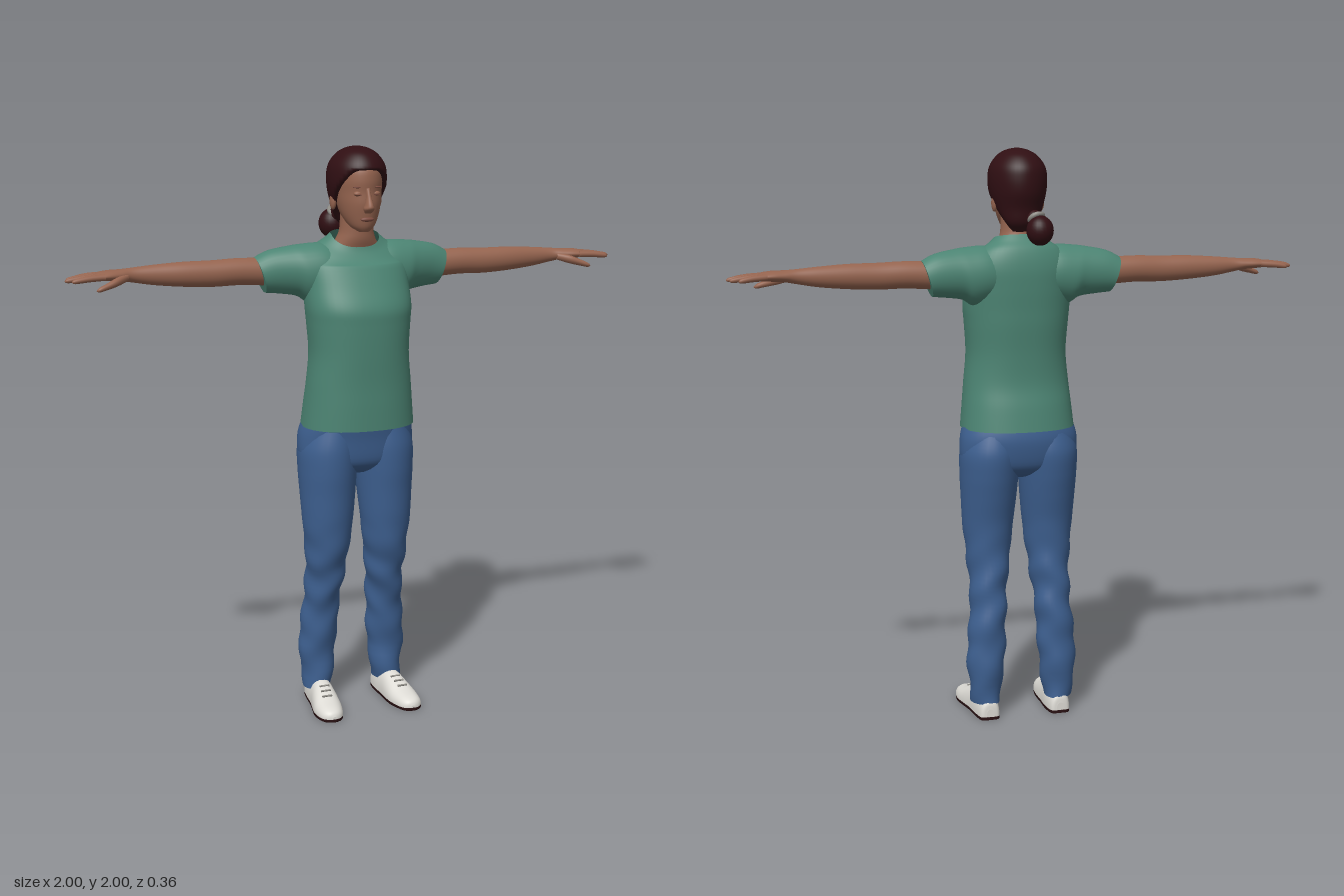
import * as THREE from 'three';

const paint = (name, color, side = THREE.FrontSide) => {
  const m = new THREE.MeshStandardMaterial({ color, side });
  m.name = name;
  return m;
};

// Smooth loft. Each row is [position along axis, centre u, centre v, radius u, radius v];
// u and v are the axes before and after the loft axis in x, y, z order.
function loft(axis, rows, { segs = 32, steps = 5, n = 2, warp, caps = true } = {}) {
  const A = 'xyz'.indexOf(axis), U = (A + 2) % 3, V = (A + 1) % 3;
  const at = (i) => rows[Math.min(rows.length - 1, Math.max(0, i))];
  const cat = (a, b, c, d, t) =>
    0.5 * (2 * b + (c - a) * t + (2 * a - 5 * b + 4 * c - d) * t * t + (3 * b - a - 3 * c + d) * t * t * t);
  const rings = [];
  const count = (rows.length - 1) * steps;
  for (let k = 0; k <= count; k++) {
    const i = Math.min(Math.floor(k / steps), rows.length - 2), t = k / steps - i;
    const r = at(i).map((_, c) => cat(at(i - 1)[c], at(i)[c], at(i + 1)[c], at(i + 2)[c], t));
    const ring = [];
    for (let s = 0; s < segs; s++) {
      const a = (s / segs) * Math.PI * 2, c = Math.cos(a), d = Math.sin(a);
      const p = [0, 0, 0];
      p[A] = r[0];
      p[U] = r[1] + Math.max(r[3], 0.001) * Math.sign(c) * Math.abs(c) ** (2 / n);
      p[V] = r[2] + Math.max(r[4], 0.001) * Math.sign(d) * Math.abs(d) ** (2 / n);
      const v = new THREE.Vector3(...p);
      if (warp) warp(v);
      ring.push(v);
    }
    rings.push(ring);
  }
  const pos = rings.flat(), index = [];
  for (let k = 0; k < count; k++)
    for (let s = 0; s < segs; s++) {
      const a = k * segs + s, b = k * segs + ((s + 1) % segs);
      index.push(a, a + segs, b + segs, a, b + segs, b);
    }
  if (caps)
    for (const end of [0, count]) {
      const base = pos.length, mid = new THREE.Vector3();
      rings[end].forEach((v) => mid.addScaledVector(v, 1 / segs));
      pos.push(...rings[end], mid);
      for (let s = 0; s < segs; s++) {
        const a = base + s, b = base + ((s + 1) % segs);
        index.push(base + segs, ...(end ? [b, a].reverse() : [b, a]).reverse());
      }
    }
  const g = new THREE.BufferGeometry().setFromPoints(pos);
  g.setIndex(index);
  g.computeVertexNormals();
  return g;
}

// Mirror across x, keeping faces outward
function mirrored(geo) {
  const g = geo.clone().scale(-1, 1, 1), ix = g.index.array;
  for (let i = 0; i < ix.length; i += 3) [ix[i + 1], ix[i + 2]] = [ix[i + 2], ix[i + 1]];
  return g;
}

const blob = (x, y, z, sx, sy, sz) => new THREE.SphereGeometry(1, 24, 16).scale(sx, sy, sz).translate(x, y, z);
const clamp = THREE.MathUtils.clamp;

export function createModel() {
  const model = new THREE.Group();
  model.name = 'standingWoman';
  const skin = paint('skin', 0x95644f), lip = paint('lip', 0x7d4c40), hair = paint('hair', 0x300f13);
  const shirt = paint('shirt', 0x4c8473, THREE.DoubleSide), denim = paint('denim', 0x3d5f8f);
  const white = paint('shoeWhite', 0xdedcd6), sole = paint('soleDark', 0x2a1214), grey = paint('grey', 0x8c8a84);

  const add = (name, geo, mat) => {
    const m = new THREE.Mesh(geo, mat);
    m.name = name;
    model.add(m);
    return m;
  };
  const pair = (name, geo, mat) => {
    add('left' + name, geo, mat);
    add('right' + name, mirrored(geo), mat);
  };

  // Shirt body with scooped neckline (rows: y, x, z, rx, rz for upright lofts see swap below)
  const upright = (rows, opts) => loft('y', rows.map(([y, x, z, rx, rz]) => [y, x, z, rx, rz]), opts);
  add('shirtBody', upright([
    [1.04, 0, 0, 0.2, 0.155], [1.12, 0, 0.007, 0.192, 0.148], [1.2, 0, 0.015, 0.184, 0.139],
    [1.3, 0, 0.017, 0.175, 0.14], [1.4, 0, 0.014, 0.181, 0.144], [1.46, 0, 0.011, 0.186, 0.143],
    [1.53, 0, -0.007, 0.185, 0.128], [1.6, 0, -0.024, 0.182, 0.11], [1.65, 0, -0.03, 0.15, 0.09],
    [1.68, 0, -0.026, 0.108, 0.071], [1.7, 0, -0.022, 0.085, 0.06],
  ], {
    segs: 48, n: 2.3, caps: false,
    warp: (v) => {
      const t = clamp((v.y - 1.6) / 0.1, 0, 1), f = v.z + 0.02;
      v.y -= t * f * (f > 0 ? 0.7 : 0.2);
    },
  }), shirt);

  // Sleeves with slanted cuffs
  pair('Sleeve', loft('x', [
    [0.06, -0.03, 1.57, 0.08, 0.085], [0.12, -0.035, 1.575, 0.088, 0.098], [0.18, -0.04, 1.57, 0.085, 0.1],
    [0.22, -0.046, 1.578, 0.074, 0.086], [0.28, -0.055, 1.576, 0.063, 0.075], [0.332, -0.06, 1.567, 0.056, 0.061],
  ], { warp: (v) => { v.x += (v.y - 1.567) * 0.3 * clamp((v.x - 0.1) / 0.2, 0, 1); } }), shirt);

  // Bare arms and palms
  pair('Arm', loft('x', [
    [0.27, -0.058, 1.576, 0.044, 0.048], [0.4, -0.058, 1.583, 0.042, 0.046], [0.5, -0.057, 1.581, 0.039, 0.045],
    [0.6, -0.06, 1.583, 0.036, 0.042], [0.7, -0.065, 1.585, 0.029, 0.034], [0.77, -0.066, 1.588, 0.025, 0.025],
    [0.81, -0.063, 1.59, 0.033, 0.02], [0.85, -0.06, 1.591, 0.042, 0.018], [0.885, -0.058, 1.59, 0.044, 0.014],
    [0.9, -0.058, 1.589, 0.034, 0.006],
  ]), skin);

  // Fingers: [root z, tip z, tip x]; then thumbs
  [[-0.092, -0.107, 0.965], [-0.07, -0.077, 0.992], [-0.047, -0.046, 1], [-0.025, -0.016, 0.982]].forEach(([z0, z1, tip], i) => {
    const row = (t, r) => [0.87 + (tip - 0.87) * t, z0 + (z1 - z0) * t, 1.59 - 0.01 * t * t, r, r];
    pair('Finger' + (i + 1), loft('x', [row(0, 0.011), row(0.5, 0.0105), row(0.9, 0.008), row(1, 0.001)],
      { segs: 12, steps: 4 }), skin);
  });
  pair('Thumb', loft('x', [
    [0.79, -0.045, 1.584, 0.012, 0.012], [0.83, -0.022, 1.574, 0.017, 0.015],
    [0.87, -0.006, 1.561, 0.012, 0.011], [0.895, 0, 1.553, 0.009, 0.008], [0.905, 0.001, 1.55, 0.001, 0.001],
  ], { segs: 12 }), skin);

  // Neck and head
  add('neck', upright([
    [1.6, 0, -0.028, 0.09, 0.05], [1.65, 0, -0.025, 0.088, 0.06], [1.685, 0, -0.014, 0.07, 0.06],
    [1.72, 0, -0.006, 0.059, 0.055], [1.79, 0, -0.002, 0.057, 0.054],
  ]), skin);
  add('head', upright([
    [1.716, 0, 0.068, 0.018, 0.018], [1.735, 0, 0.046, 0.043, 0.052], [1.77, 0, 0.026, 0.062, 0.08],
    [1.81, 0, 0.014, 0.073, 0.098], [1.85, 0, 0.011, 0.077, 0.1], [1.89, 0, 0.012, 0.079, 0.102],
    [1.93, 0, 0.006, 0.074, 0.1], [1.965, 0, 0, 0.05, 0.07],
  ]), skin);
  add('nose', upright([
    [1.782, 0, 0.11, 0.012, 0.01], [1.796, 0, 0.117, 0.018, 0.024], [1.81, 0, 0.117, 0.014, 0.025],
    [1.835, 0, 0.112, 0.009, 0.016], [1.865, 0, 0.106, 0.008, 0.008],
  ], { segs: 16 }), skin);
  add('lips', blob(0, 1.76, 0.101, 0.024, 0.008, 0.01), lip);
  pair('Eyelid', blob(0.031, 1.846, 0.096, 0.016, 0.009, 0.011), skin);
  pair('LashLine', blob(0.031, 1.843, 0.104, 0.013, 0.0018, 0.004), lip);
  pair('Brow', blob(0.032, 1.868, 0.102, 0.02, 0.003, 0.005), lip);
  pair('Ear', blob(0.082, 1.815, -0.012, 0.011, 0.03, 0.018), skin);

  // Hair, trimmed back around the face
  const hairline = [[1.72, -0.06], [1.77, -0.035], [1.81, 0], [1.85, 0.03], [1.89, 0.07], [1.92, 0.095], [1.935, 0.14]];
  add('hairCap', upright([
    [1.72, 0, -0.055, 0.03, 0.022], [1.75, 0, -0.06, 0.055, 0.042], [1.8, 0, -0.028, 0.08, 0.084],
    [1.85, 0, -0.008, 0.096, 0.12], [1.9, 0, -0.005, 0.1, 0.126], [1.94, 0, -0.004, 0.092, 0.119],
    [1.975, 0, -0.002, 0.066, 0.09], [1.993, 0, 0, 0.035, 0.05], [2, 0, 0, 0.003, 0.004],
  ], {
    segs: 48, steps: 6,
    warp: (v) => {
      const i = hairline.findIndex(([y]) => y > v.y);
      if (i < 1) return;
      const [y0, z0] = hairline[i - 1], [y1, z1] = hairline[i];
      v.z = Math.min(v.z, z0 + ((z1 - z0) * (v.y - y0)) / (y1 - y0));
    },
  }), hair);
  add('hairBun', blob(-0.045, 1.727, -0.13, 0.046, 0.051, 0.047), hair);
  add('hairRoot', blob(-0.033, 1.765, -0.1, 0.028, 0.03, 0.028), hair);
  const tie = add('hairTie', new THREE.TorusGeometry(0.023, 0.009, 10, 24), grey);
  tie.position.set(-0.037, 1.768, -0.112);
  tie.lookAt(-0.05, 1.72, -0.15);

  // Trousers: hips, then legs with soft folds below the knee
  add('hips', upright([
    [0.865, 0, -0.015, 0.07, 0.05], [0.885, 0, -0.016, 0.15, 0.085], [0.92, 0, -0.018, 0.203, 0.112],
    [1, 0, -0.02, 0.209, 0.124], [1.06, 0, -0.01, 0.194, 0.124],
  ], { segs: 48, n: 2.2 }), denim);
  pair('TrouserLeg', upright([
    [0.055, 0.133, -0.06, 0.05, 0.059], [0.2, 0.132, -0.062, 0.066, 0.063], [0.3, 0.126, -0.055, 0.067, 0.068],
    [0.4, 0.119, -0.045, 0.064, 0.074], [0.5, 0.113, -0.025, 0.069, 0.08], [0.6, 0.11, -0.01, 0.079, 0.088],
    [0.7, 0.109, -0.006, 0.09, 0.096], [0.8, 0.107, -0.012, 0.098, 0.109], [0.88, 0.106, -0.016, 0.103, 0.12],
    [0.96, 0.103, -0.019, 0.105, 0.124], [1.03, 0.095, -0.015, 0.09, 0.11],
  ], {
    steps: 6,
    warp: (v) => {
      const k = 0.004 * clamp((0.72 - v.y) / 0.2, 0, 1);
      v.x += k * Math.sin(v.y * 48 + v.z * 25);
      v.z += k * Math.sin(v.y * 39 + v.x * 30);
    },
  }), denim);

  // Shoes: upper and sole share one half-dome form
  const shoeRows = [
    [-0.122, 0.01, 0.13, 0.03, 0.015], [-0.113, 0.01, 0.13, 0.06, 0.034], [-0.06, 0.01, 0.131, 0.08, 0.043],
    [0, 0.01, 0.135, 0.082, 0.045], [0.05, 0.01, 0.14, 0.066, 0.05], [0.1, 0.01, 0.146, 0.046, 0.052],
    [0.15, 0.01, 0.15, 0.034, 0.042], [0.172, 0.01, 0.15, 0.024, 0.026], [0.18, 0.01, 0.15, 0.01, 0.008],
  ];
  pair('ShoeUpper', loft('z', shoeRows, { n: 2.3, warp: (v) => { v.y = Math.max(v.y, 0.011); } }), white);
  pair('ShoeSole', loft('z', shoeRows, { n: 2.3, warp: (v) => { v.y = clamp(v.y, 0, 0.012); } }), sole);
  [[0.035, 0.081], [0.06, 0.0725], [0.085, 0.0625]].forEach(([z, y], i) =>
    pair('Lace' + (i + 1), new THREE.BoxGeometry(0.036, 0.005, 0.006).rotateX(0.35).translate(0.132 + z * 0.15, y, z), grey));

  return model;
}
